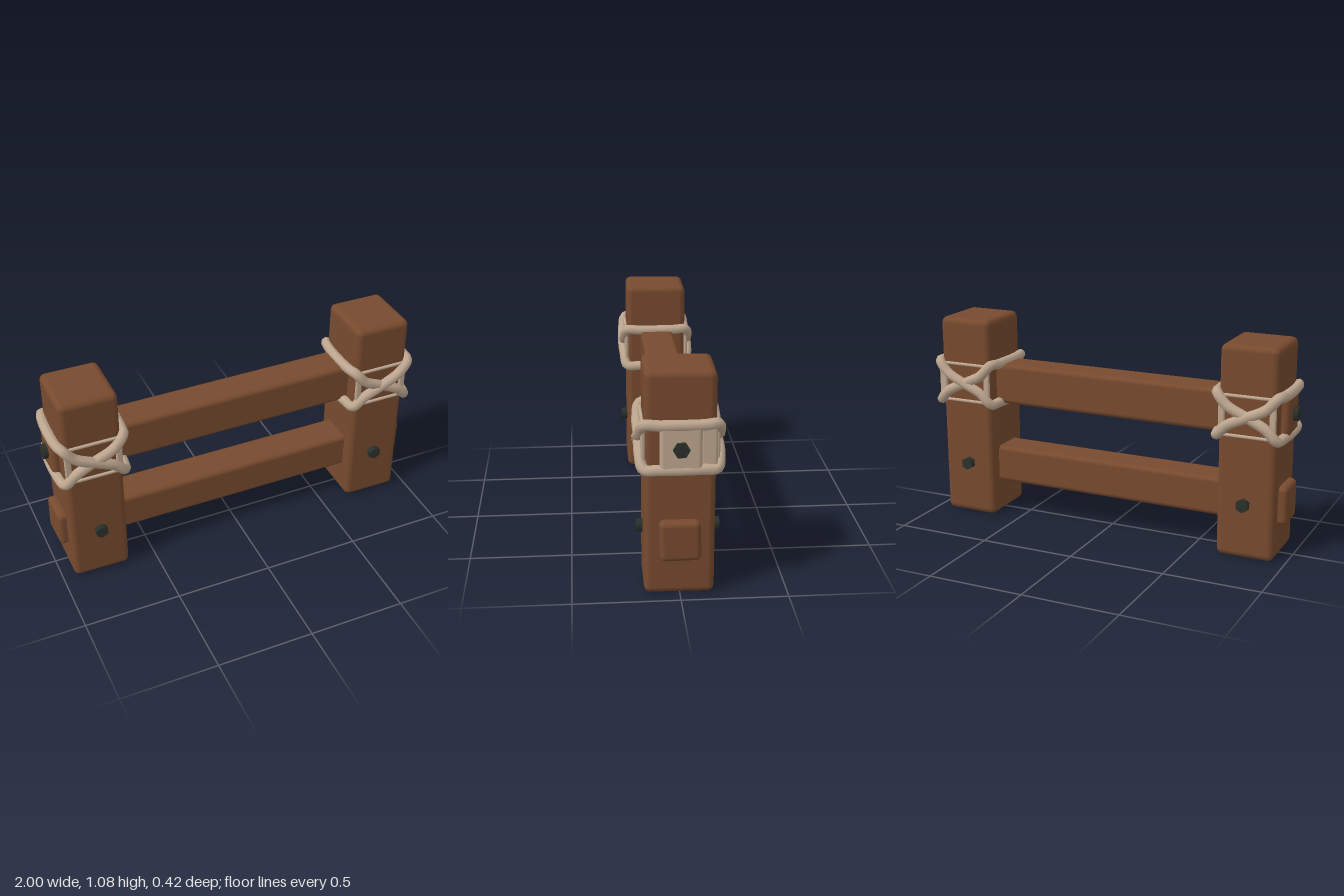
import * as THREE from 'three';
import { RoundedBoxGeometry } from 'three/addons/geometries/RoundedBoxGeometry.js';

const mat = (name, color, side = THREE.FrontSide) => {
  const m = new THREE.MeshStandardMaterial({ color, side });
  m.name = name;
  return m;
};

export function createModel() {
  const wood = mat('wood', 0x774a2e);
  const ropeMat = mat('rope', 0xbda68f);
  const iron = mat('iron', 0x2b302a);
  const group = new THREE.Group();
  group.name = 'fence';

  const add = (parent, name, geometry, material, x = 0, y = 0, z = 0) => {
    const mesh = new THREE.Mesh(geometry, material);
    mesh.name = name;
    mesh.position.set(x, y, z);
    parent.add(mesh);
    return mesh;
  };

  // Softly worn block of timber
  const block = (w, h, d, r) => {
    const g = new RoundedBoxGeometry(w, h, d, 2, r);
    const p = g.attributes.position;
    for (let i = 0; i < p.count; i++) {
      const x = p.getX(i), y = p.getY(i), z = p.getZ(i);
      p.setXYZ(i,
        x + 0.003 * Math.sin(y * 9 + z * 14),
        y + 0.003 * Math.sin(x * 8 + z * 11),
        z + 0.003 * Math.sin(x * 7 + y * 10));
    }
    return g;
  };

  // Six-sided bolt head whose axis lies along x or z
  const bolt = (parent, name, axis, r, depth, x, y, z) => {
    const m = add(parent, name, new THREE.CylinderGeometry(r, r, depth, 6), iron, x, y, z);
    if (axis === 'x') m.rotation.z = Math.PI / 2;
    else m.rotation.x = Math.PI / 2;
  };

  // Rails pass through both posts
  add(group, 'upperRail', block(1.95, 0.215, 0.185, 0.025), wood, 0, 0.73, -0.004);
  add(group, 'lowerRail', block(1.965, 0.197, 0.19, 0.025), wood, 0, 0.28, 0);

  // Closed rope loop: high on one side of the post, low on the other, crossing front and back
  const ropeLoop = (flip, bulge) => {
    const hi = 0.735 + 0.105 * flip, lo = 0.735 - 0.105 * flip;
    const v = (x, y, z) => new THREE.Vector3(x, y, z);
    const half = (s) => [
      v(0.168, hi, 0.10 * s), v(0.155, hi, 0.165 * s), v(0.10, hi - 0.055 * flip, 0.18 * s),
      v(0, 0.735, bulge * s),
      v(-0.10, lo + 0.055 * flip, 0.18 * s), v(-0.15, lo, 0.165 * s), v(-0.165, lo, 0.10 * s),
    ];
    const points = [...half(1), ...half(-1).reverse()];
    const curve = new THREE.CatmullRomCurve3(points, true, 'centripetal');
    return new THREE.TubeGeometry(curve, 96, 0.027, 8, true);
  };

  for (const side of [-1, 1]) {
    const x = side * 0.79;
    add(group, side > 0 ? 'leftPost' : 'rightPost', block(0.298, 1.08, 0.326, 0.032), wood, x, 0.543, 0);

    // Lashing around the upper joint
    const lashing = new THREE.Group();
    lashing.name = side > 0 ? 'leftLashing' : 'rightLashing';
    lashing.position.x = x;
    group.add(lashing);
    add(lashing, 'ropeLoopA', ropeLoop(side, 0.185), ropeMat);
    add(lashing, 'ropeLoopB', ropeLoop(-side, 0.178), ropeMat);

    // Flat under-wraps framing the crossing on front and back
    for (const s of [-1, 1]) {
      for (const e of [-1, 1]) {
        add(lashing, 'uprightWrap', new RoundedBoxGeometry(0.034, 0.2, 0.02, 2, 0.009), ropeMat, e * 0.13, 0.735, s * 0.168);
        add(lashing, 'crossWrap', new RoundedBoxGeometry(0.26, 0.016, 0.016, 2, 0.007), ropeMat, 0, 0.735 + e * 0.1, s * 0.167);
      }
      bolt(group, 'lowerBolt', 'z', 0.034, 0.034, side * 0.785, 0.287, s * 0.178);
    }
    bolt(group, 'upperBolt', 'x', 0.038, 0.03, side * 0.985, 0.735, 0);
  }

  // Rope binding over the left end of the upper rail
  add(group, 'railEndBinding', new RoundedBoxGeometry(0.045, 0.215, 0.19, 2, 0.018), ropeMat, 0.959, 0.735, 0);
  add(group, 'sideWrap', new RoundedBoxGeometry(0.03, 0.2, 0.075, 2, 0.012), ropeMat, 0.942, 0.735, -0.128);

  return group;
}
